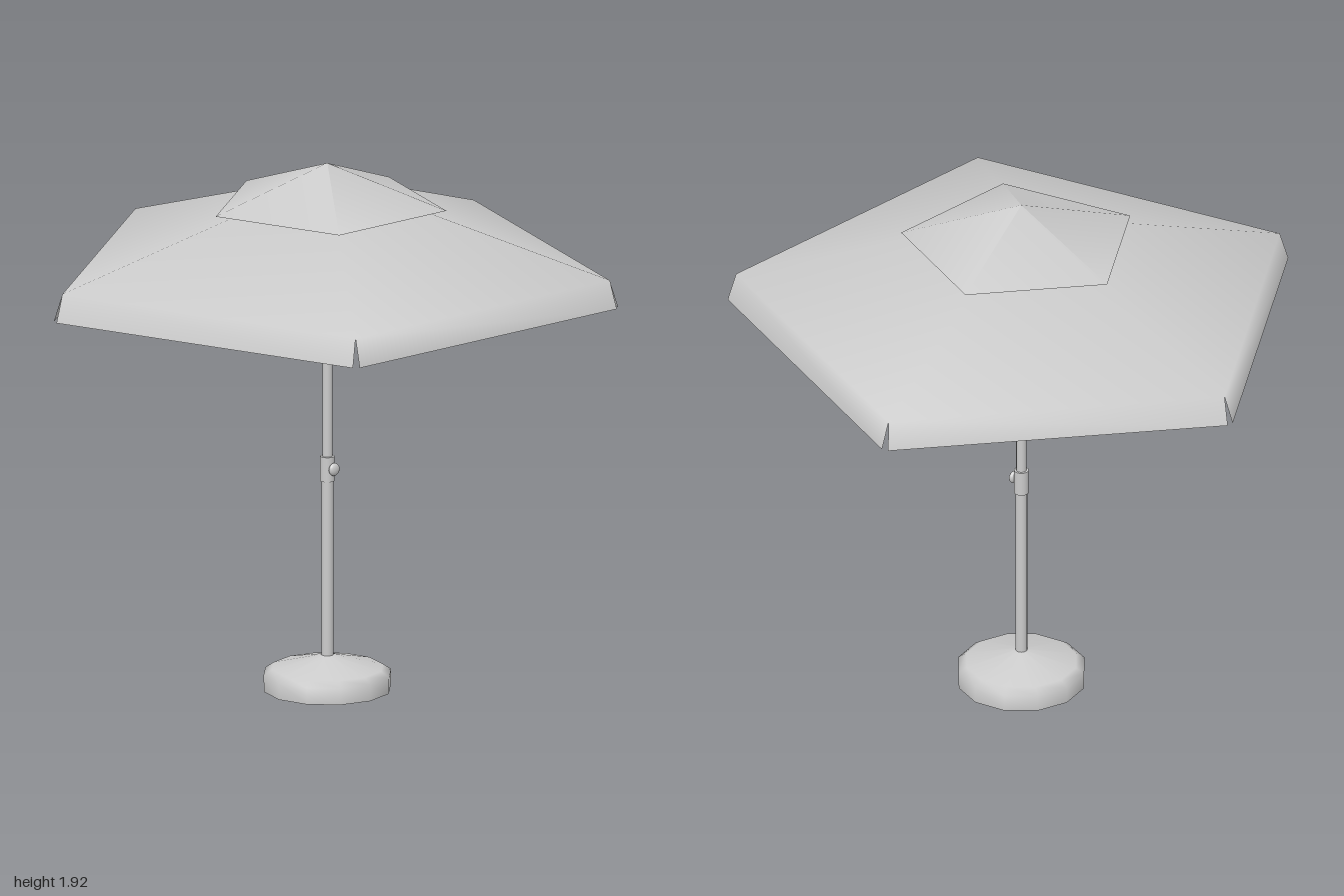
import * as THREE from 'three';

const SIDES = 5;
const EAVE_R = 1.02, EAVE_Y = 1.55, PEAK_Y = 1.875, HEM_R = 1.057, HEM_Y = 1.45;
const material = new THREE.MeshStandardMaterial({ color: 0xcccccc });
const sheet = new THREE.MeshStandardMaterial({ color: 0xcccccc, side: THREE.DoubleSide });

function add(parent, name, geometry, mat = material) {
  const mesh = new THREE.Mesh(geometry, mat);
  mesh.name = name;
  parent.add(mesh);
  return mesh;
}

// Point on a pentagon whose first corner points to the back
function corner(i, r, y) {
  const a = Math.PI + (i * 2 * Math.PI) / SIDES;
  return new THREE.Vector3(Math.sin(a) * r, y, Math.cos(a) * r);
}

// Straight round bar between two points
function bar(parent, name, a, b, r) {
  const d = b.clone().sub(a);
  const mesh = add(parent, name, new THREE.CylinderGeometry(r, r, d.length(), 8));
  mesh.position.copy(a).add(b).multiplyScalar(0.5);
  mesh.quaternion.setFromUnitVectors(new THREE.Vector3(0, 1, 0), d.normalize());
  return mesh;
}

function cylinder(parent, name, rTop, rBottom, y0, y1, sides = 16) {
  const mesh = add(parent, name, new THREE.CylinderGeometry(rTop, rBottom, y1 - y0, sides));
  mesh.position.y = (y0 + y1) / 2;
  return mesh;
}

// Pentagonal cloth with a flared valance, slit at each corner
function canopyGeometry() {
  const points = [new THREE.Vector3(0, PEAK_Y, 0)];
  const index = [];
  for (let i = 0; i < SIDES; i++) points.push(corner(i, EAVE_R, EAVE_Y));
  for (let i = 0; i < SIDES; i++) {
    const a = 1 + i, b = 1 + ((i + 1) % SIDES);
    const hemA = corner(i, HEM_R, HEM_Y), hemB = corner(i + 1, HEM_R, HEM_Y);
    const c = points.length, d = c + 1;
    points.push(hemA.clone().lerp(hemB, 0.012), hemB.clone().lerp(hemA, 0.012));
    index.push(0, a, b, a, c, d, a, d, b);
  }
  const geometry = new THREE.BufferGeometry().setFromPoints(points);
  geometry.setIndex(index);
  geometry.computeVertexNormals();
  return geometry;
}

export function createModel() {
  const model = new THREE.Group();
  model.name = 'parasol';
  const body = new THREE.Group();
  body.name = 'parasolBody';
  body.position.z = 0.09;
  model.add(body);

  // Hollow weighted base
  const profile = [[0.228, 0], [0.23, 0.06], [0.2, 0.08], [0.02, 0.125]];
  add(body, 'base', new THREE.LatheGeometry(profile.map(([r, y]) => new THREE.Vector2(r, y)), 12), sheet);

  // Two-part pole with clamp and knob
  cylinder(body, 'lowerPole', 0.021, 0.021, 0.04, 0.78);
  cylinder(body, 'upperPole', 0.018, 0.018, 0.78, 1.85);
  cylinder(body, 'poleClamp', 0.026, 0.026, 0.76, 0.85);
  bar(body, 'knobStem', new THREE.Vector3(0, 0.808, 0.02), new THREE.Vector3(0, 0.808, 0.035), 0.011);
  const knob = add(body, 'knob', new THREE.SphereGeometry(0.023, 14, 10));
  knob.scale.z = 0.55;
  knob.position.set(0, 0.808, 0.036);

  // Frame: hub, runner, ribs and struts
  cylinder(body, 'hub', 0.028, 0.028, 1.8, 1.85);
  cylinder(body, 'runner', 0.028, 0.028, 1.545, 1.58);
  cylinder(body, 'runnerCollar', 0.023, 0.023, 1.52, 1.6);
  for (let i = 0; i < SIDES; i++) {
    const inner = corner(i, 0.02, 1.85), outer = corner(i, 1.0, 1.542);
    bar(body, 'rib', inner, outer, 0.009);
    bar(body, 'strut', corner(i, 0.025, 1.565), inner.clone().lerp(outer, 0.42), 0.007);
  }

  // Cloth: main canopy and raised vent cap
  add(body, 'canopy', canopyGeometry(), sheet);
  const cap = add(body, 'ventCap', new THREE.ConeGeometry(0.43, 0.15, SIDES, 1, true, Math.PI), sheet);
  cap.position.y = 1.845;

  return model;
}
